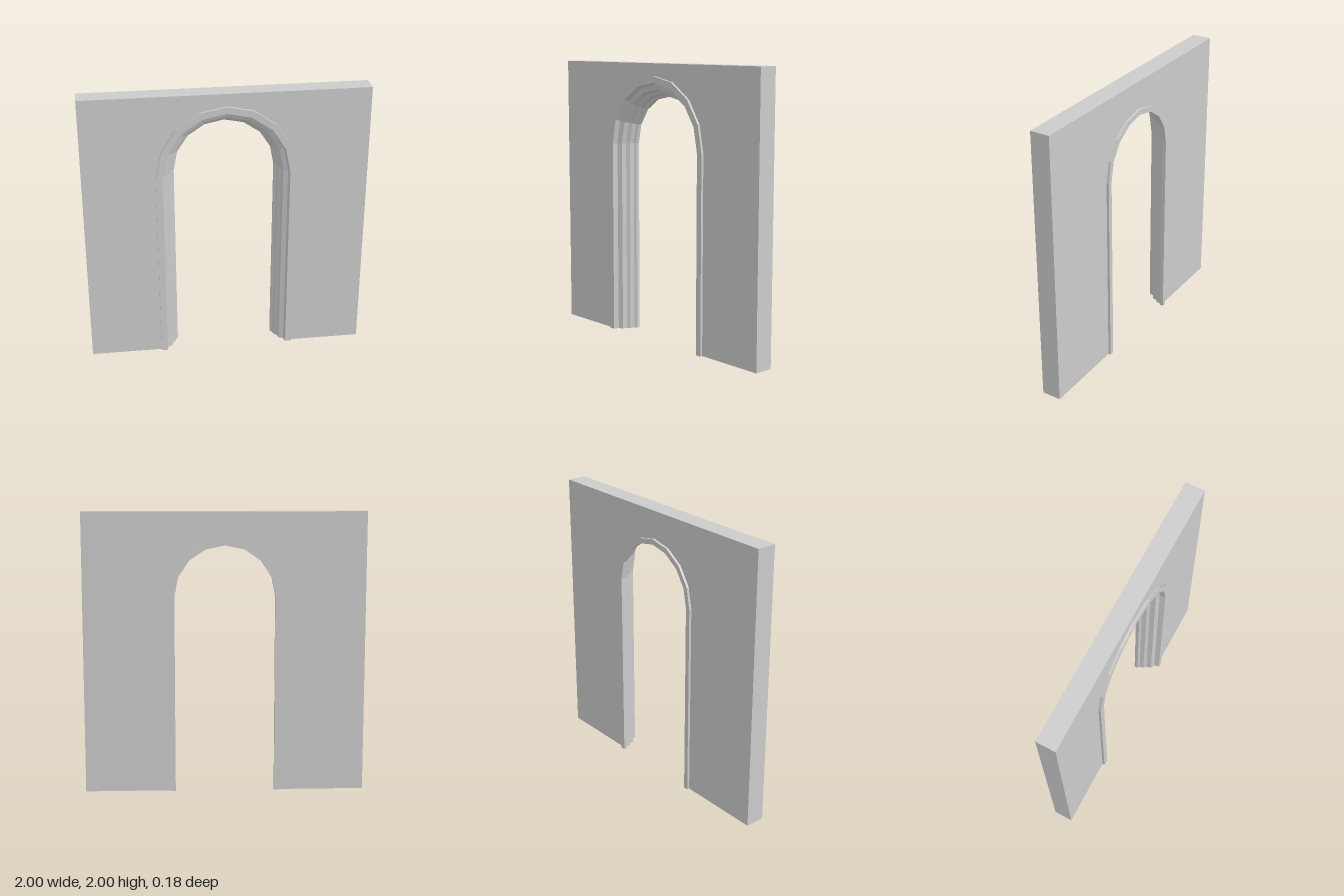
import * as THREE from 'three';

const SPRING = 1.406; // height where the arch begins
const WALL_Z = 0.07, LIP_Z = 0.088;

// Arched doorway outline with half width a, from the +x foot over to the -x foot.
function archOutline(a) {
  const rise = 0.359 + (a - 0.355) * 1.09;
  const pts = [new THREE.Vector2(a, 0)];
  for (let i = 0; i <= 8; i++) {
    const t = (i / 8) * Math.PI;
    pts.push(new THREE.Vector2(a * Math.cos(t), SPRING + rise * Math.sin(t)));
  }
  pts.push(new THREE.Vector2(-a, 0));
  return pts;
}

// Sweeps a [half width, z] profile around the doorway.
function sweepArch(profile) {
  const rows = profile.map(([a, z]) => archOutline(a).map((p) => [p.x, p.y, z]));
  const pos = [];
  for (let i = 0; i < rows.length - 1; i++) {
    for (let j = 0; j < rows[i].length - 1; j++) {
      const a = rows[i][j], b = rows[i][j + 1], c = rows[i + 1][j], d = rows[i + 1][j + 1];
      pos.push(...a, ...b, ...c, ...b, ...d, ...c);
    }
  }
  const geo = new THREE.BufferGeometry();
  geo.setAttribute('position', new THREE.Float32BufferAttribute(pos, 3));
  geo.computeVertexNormals();
  return geo;
}

// Wall face with the doorway cut out of its lower edge.
function wallFace(a) {
  return new THREE.ShapeGeometry(new THREE.Shape([
    new THREE.Vector2(1, 0), new THREE.Vector2(1, 2),
    new THREE.Vector2(-1, 2), new THREE.Vector2(-1, 0),
    ...archOutline(a).reverse(),
  ]));
}

export function createModel() {
  const group = new THREE.Group();
  const material = new THREE.MeshStandardMaterial({
    color: 0xcccccc, flatShading: true, side: THREE.DoubleSide,
  });
  const add = (name, geo) => {
    const mesh = new THREE.Mesh(geo, material);
    mesh.name = name;
    group.add(mesh);
    return mesh;
  };

  // Wall shell, open underneath
  add('wallFront', wallFace(0.49)).position.z = WALL_Z;
  const back = add('wallBack', wallFace(0.39));
  back.position.z = -WALL_Z;
  back.rotation.y = Math.PI;
  add('wallTop', new THREE.PlaneGeometry(2, 2 * WALL_Z).rotateX(-Math.PI / 2)).position.y = 2;
  for (const side of [1, -1]) {
    const end = new THREE.PlaneGeometry(2 * WALL_Z, 2).rotateY((side * Math.PI) / 2);
    add(side > 0 ? 'wallEndLeft' : 'wallEndRight', end).position.set(side, 1, 0);
  }

  // Stepped door moulding: front lip, stepped reveal, back lip
  add('archMoulding', sweepArch([
    [0.49, WALL_Z], [0.49, LIP_Z], [0.446, LIP_Z],
    [0.437, 0.05], [0.405, 0.035], [0.398, 0],
    [0.377, -0.018], [0.37, -0.05], [0.355, -0.062],
    [0.355, -LIP_Z], [0.39, -LIP_Z], [0.39, -WALL_Z],
  ]));

  return group;
}
